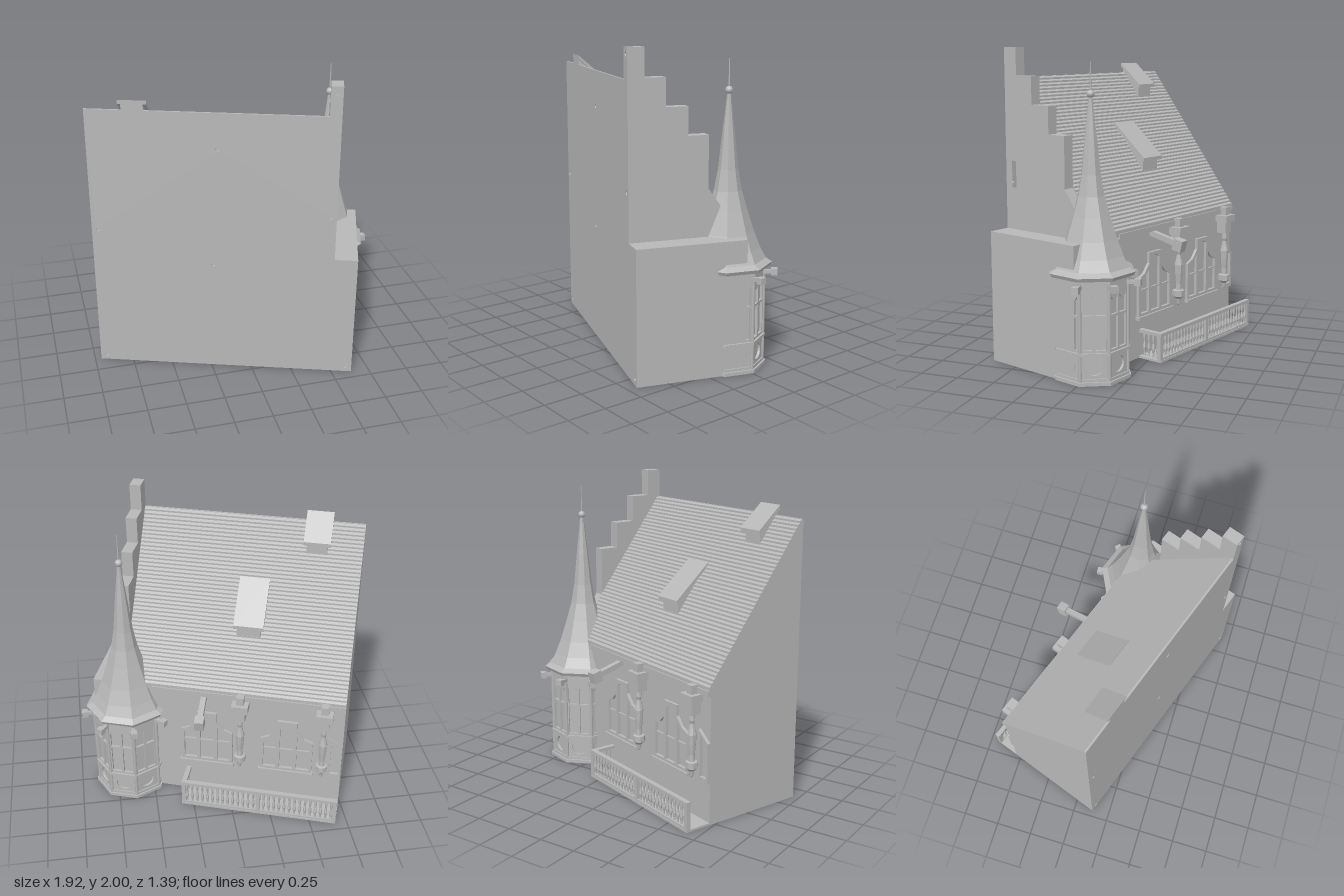
import * as THREE from 'three';

const stone = new THREE.MeshStandardMaterial({ color: 0xb8b8b8 });
stone.name = 'grey stone';

const WALL = -0.26, FRONT = 0.442, LEFT = -0.862, RIGHT = 0.823, GABLE = 0.602;
const roofY = z => 1.81 - (FRONT - z) * 1.32;

function add(parent, name, geo, x = 0, y = 0, z = 0) {
  const m = new THREE.Mesh(geo, stone);
  m.name = name;
  m.position.set(x, y, z);
  parent.add(m);
  return m;
}

// box given by its limits on each axis
function block(parent, name, x0, x1, y0, y1, z0, z1) {
  return add(parent, name, new THREE.BoxGeometry(x1 - x0, y1 - y0, z1 - z0),
    (x0 + x1) / 2, (y0 + y1) / 2, (z0 + z1) / 2);
}

const v2 = pts => pts.map(p => new THREE.Vector2(p[0], p[1]));

function plate(outline, holes, depth) {
  const s = new THREE.Shape(v2(outline));
  s.holes = holes;
  return new THREE.ExtrudeGeometry(s, { depth, bevelEnabled: false, curveSegments: 8 });
}

// extrude a (z, y) profile along x from x0 to x1
function alongX(profile, x0, x1, holes = []) {
  const flip = pts => pts.map(([z, y]) => [-z, y]);
  const g = plate(flip(profile), holes.map(h => new THREE.Path(v2(flip(h)))), x1 - x0);
  return g.rotateY(Math.PI / 2).translate(x0, 0, 0);
}

// faceted lathe with its flats facing the axes
function turned(profile, sides) {
  const g = new THREE.LatheGeometry(v2(profile), sides, Math.PI / sides).toNonIndexed();
  g.computeVertexNormals();
  return g;
}

const round = (x, y, r) => new THREE.Path().absarc(x, y, r, 0, Math.PI * 2, true);

function house(g) {
  // flat front panel with peg holes
  const pegs = [[-0.82, 1], [-0.82, 0.04], [-0.056, 1.58], [0.638, 1.96], [0.638, 1.15], [-0.088, 0.78], [0.782, 0.04]];
  add(g, 'frontWall', plate(
    [[LEFT, 0], [RIGHT, 0], [RIGHT, 0.85], [0.676, 0.85], [0.676, 2], [GABLE, 2], [GABLE, 1.812], [LEFT, 1.812]],
    pegs.map(([x, y]) => round(x, y, 0.014)), 0.012), 0, 0, FRONT - 0.012);

  // main body with stepped tile courses
  const z0 = FRONT - 0.012, rows = 44, dz = (z0 + 0.275) / rows, dy = (1.81 - 0.87) / rows;
  const profile = [[z0, 0], [z0, 1.81]];
  for (let i = 0; i < rows; i++) {
    const z = z0 - (i + 1) * dz, y = 1.81 - i * dy;
    profile.push([z, y - dy * 0.45], [z, y - dy]);
  }
  profile.push([-0.275, 0.845], [WALL, 0.835], [WALL, 0]);
  add(g, 'bodyAndTiledRoof', alongX(profile, LEFT, GABLE));
  block(g, 'eaveMoulding', LEFT, 0.42, 0.825, 0.86, -0.283, WALL);
  block(g, 'sideAnnex', GABLE, RIGHT, 0, 0.85, WALL, z0);

  // stepped gable with a recessed window
  const steps = [[z0, 0.85], [z0, 2], [0.34, 2], [0.34, 1.825], [0.21, 1.825], [0.21, 1.65],
    [0.07, 1.65], [0.07, 1.475], [-0.06, 1.475], [-0.06, 1.15], [-0.26, 0.87], [-0.26, 0.85]];
  add(g, 'steppedGable', alongX(steps, GABLE, 0.676, [[[0.39, 1.12], [0.39, 1.29], [0.305, 1.29], [0.305, 1.12]]]));
  block(g, 'gableWindowPane', 0.61, 0.64, 1.12, 1.29, 0.305, 0.39);
}

function dormer(g, x0, x1, zf, zb) {
  const top = z => roofY(zf) + 0.115 + (z - zf) * 0.88, f = zf + 0.025;
  add(g, 'dormerCheeks', alongX(
    [[f, roofY(f) - 0.02], [f, top(f)], [zb, top(zb)], [zb, roofY(zb) - 0.02]], x0 + 0.02, x1 - 0.02));
  add(g, 'dormerRoof', alongX(
    [[zf, top(zf)], [zf, top(zf) + 0.025], [zb, top(zb) + 0.025], [zb, top(zb)]], x0, x1));
}

function stepWindow(g, x) {
  const side = s => new THREE.Path(v2([[s * 0.07, 0.3], [s * 0.155, 0.3], [s * 0.155, 0.515], [s * 0.11, 0.535], [s * 0.07, 0.58]]));
  const middle = new THREE.Path(v2([[-0.045, 0.3], [0.045, 0.3], [0.045, 0.65], [0, 0.67], [-0.045, 0.65]]));
  const outline = [[-0.175, 0.27], [0.175, 0.27], [0.175, 0.535], [0.115, 0.56], [0.065, 0.62], [0.065, 0.69],
    [-0.065, 0.69], [-0.065, 0.62], [-0.115, 0.56], [-0.175, 0.535]];
  add(g, 'windowFrame', plate(outline, [side(-1), middle, side(1)], 0.02).rotateY(Math.PI), x, 0, WALL);
  block(g, 'windowSill', x - 0.185, x + 0.185, 0.262, 0.282, WALL - 0.032, WALL);
  block(g, 'windowTransom', x - 0.16, x + 0.16, 0.445, 0.457, WALL - 0.012, WALL);
}

// ornament column on a pointed console beneath a canopy
function nicheColumn(g, x) {
  const z = -0.3;
  add(g, 'nicheColumn', turned([[0, 0.28], [0.012, 0.29], [0.018, 0.325], [0.04, 0.345], [0.04, 0.385], [0.022, 0.39],
    [0.02, 0.43], [0.027, 0.5], [0.03, 0.56], [0.02, 0.6], [0.014, 0.63], [0.02, 0.65], [0.016, 0.69], [0, 0.7]], 8), x, 0, z);
  block(g, 'consoleTie', x - 0.02, x + 0.02, 0.345, 0.38, z, WALL);
  block(g, 'canopy', x - 0.035, x + 0.035, 0.69, 0.77, z - 0.03, WALL);
  block(g, 'canopyCap', x - 0.055, x + 0.055, 0.77, 0.82, z - 0.05, WALL);
  block(g, 'canopyCrown', x - 0.025, x + 0.025, 0.82, 0.875, z - 0.025, WALL);
}

function balcony(g) {
  const x1 = 0.197, zo = -0.437;
  block(g, 'balconyFloor', LEFT, x1, 0, 0.014, zo, WALL);
  block(g, 'balconyHandrail', LEFT, x1, 0.172, 0.194, zo, zo + 0.032);
  block(g, 'balconyFootRail', LEFT, x1, 0.014, 0.028, zo + 0.004, zo + 0.028);
  block(g, 'balconyEndRail', x1 - 0.032, x1, 0.172, 0.194, zo, WALL);
  for (const x of [LEFT + 0.014, -0.33, x1 - 0.014])
    block(g, 'balconyPost', x - 0.014, x + 0.014, 0.014, 0.175, zo + 0.002, zo + 0.03);
  const baluster = turned([[0.009, 0.02], [0.006, 0.045], [0.012, 0.075], [0.006, 0.115], [0.009, 0.145], [0.009, 0.175]], 6);
  for (let i = 1; i < 30; i++) add(g, 'baluster', baluster, LEFT + i * (x1 - LEFT) / 30, 0, zo + 0.016);
  for (let i = 1; i < 5; i++) add(g, 'baluster', baluster, x1 - 0.016, 0, zo + i * 0.036);
}

function tower(parent) {
  const g = new THREE.Group();
  g.name = 'cornerTower';
  g.position.set(0.608, 0, -0.214);
  parent.add(g);
  add(g, 'towerCore', turned([[0, 0], [0.214, 0], [0.214, 0.65], [0, 0.65]], 8));

  // ledges
  for (const [r, y0, y1] of [[0.252, 0, 0.022], [0.24, 0.022, 0.04], [0.246, 0.183, 0.2], [0.24, 0.625, 0.65]])
    add(g, 'towerLedge', turned([[0, y0], [r, y0], [r, y1], [0, y1]], 8));

  // pierced tracery: a round panel below, two arched lights above
  const light = (x, y0, y1, arch) => {
    const p = new THREE.Path();
    p.moveTo(x - 0.031, y0);
    p.lineTo(x + 0.031, y0);
    p.lineTo(x + 0.031, y1);
    if (arch) {
      p.quadraticCurveTo(x + 0.02, y1 - 0.03, x, y1 - 0.03);
      p.quadraticCurveTo(x - 0.02, y1 - 0.03, x - 0.031, y1);
    } else p.lineTo(x - 0.031, y1);
    p.closePath();
    return p;
  };
  const holes = [round(0, 0.11, 0.052)];
  for (const x of [-0.039, 0.039]) holes.push(light(x, 0.215, 0.415, false), light(x, 0.43, 0.55, true));
  const tracery = plate([[-0.088, 0.02], [0.088, 0.02], [0.088, 0.64], [-0.088, 0.64]], holes, 0.016).translate(0, 0, 0.198);
  for (let k = 2; k <= 6; k++) add(g, 'towerTracery', tracery, 0, 0, 0).rotation.y = k * Math.PI / 4;

  // corner shafts and water spouts
  for (let k = 2; k <= 5; k++) {
    const a = (k + 0.5) * Math.PI / 4, s = Math.sin(a), c = Math.cos(a);
    add(g, 'towerShaft', new THREE.CylinderGeometry(0.012, 0.012, 0.62, 6), 0.231 * s, 0.32, 0.231 * c);
    const spout = new THREE.Group();
    spout.name = 'towerSpout';
    spout.rotation.y = a;
    block(spout, 'spoutArm', -0.012, 0.012, 0.592, 0.615, 0.22, 0.28);
    block(spout, 'spoutHead', -0.021, 0.021, 0.583, 0.625, 0.275, 0.315);
    g.add(spout);
  }

  // flared spire with ball and needle
  add(g, 'spire', turned([[0, 0.645], [0.268, 0.645], [0.28, 0.668], [0.24, 0.692], [0.205, 0.76], [0.165, 0.86], [0.12, 1],
    [0.085, 1.12], [0.062, 1.25], [0.04, 1.46], [0.018, 1.65], [0.009, 1.75], [0, 1.75]], 8));
  add(g, 'spireBall', new THREE.SphereGeometry(0.024, 16, 12), 0, 1.73, 0);
  add(g, 'spireNeedle', new THREE.CylinderGeometry(0.003, 0.006, 0.18, 8), 0, 1.83, 0);
}

export function createModel() {
  const model = new THREE.Group();
  model.name = 'townHouse';
  const g = new THREE.Group();
  g.name = 'house';
  g.rotation.y = -19.4 * Math.PI / 180;
  model.add(g);

  house(g);
  dormer(g, -0.655, -0.48, 0.275, FRONT);
  dormer(g, -0.285, -0.088, -0.075, 0.18);
  for (const x of [0.05, -0.49]) stepWindow(g, x);

  // half window at the cut end
  add(g, 'endWindowFrame', plate([[-0.045, 0.27], [0.045, 0.27], [0.045, 0.53], [-0.045, 0.6]],
    [new THREE.Path(v2([[-0.028, 0.3], [0.028, 0.3], [0.028, 0.52], [-0.028, 0.56]]))], 0.02).rotateY(Math.PI), -0.815, 0, WALL);

  for (const x of [-0.18, -0.733]) nicheColumn(g, x);

  // roof water spout
  const spout = new THREE.Group();
  spout.name = 'roofSpout';
  spout.position.set(0.07, 0.815, -0.25);
  spout.rotation.set(-0.24, 0.06, 0);
  block(spout, 'spoutArm', -0.018, 0.018, -0.018, 0.018, -0.21, 0);
  block(spout, 'spoutHead', -0.03, 0.03, -0.04, 0.035, -0.265, -0.2);
  g.add(spout);

  balcony(g);
  tower(g);
  return model;
}
